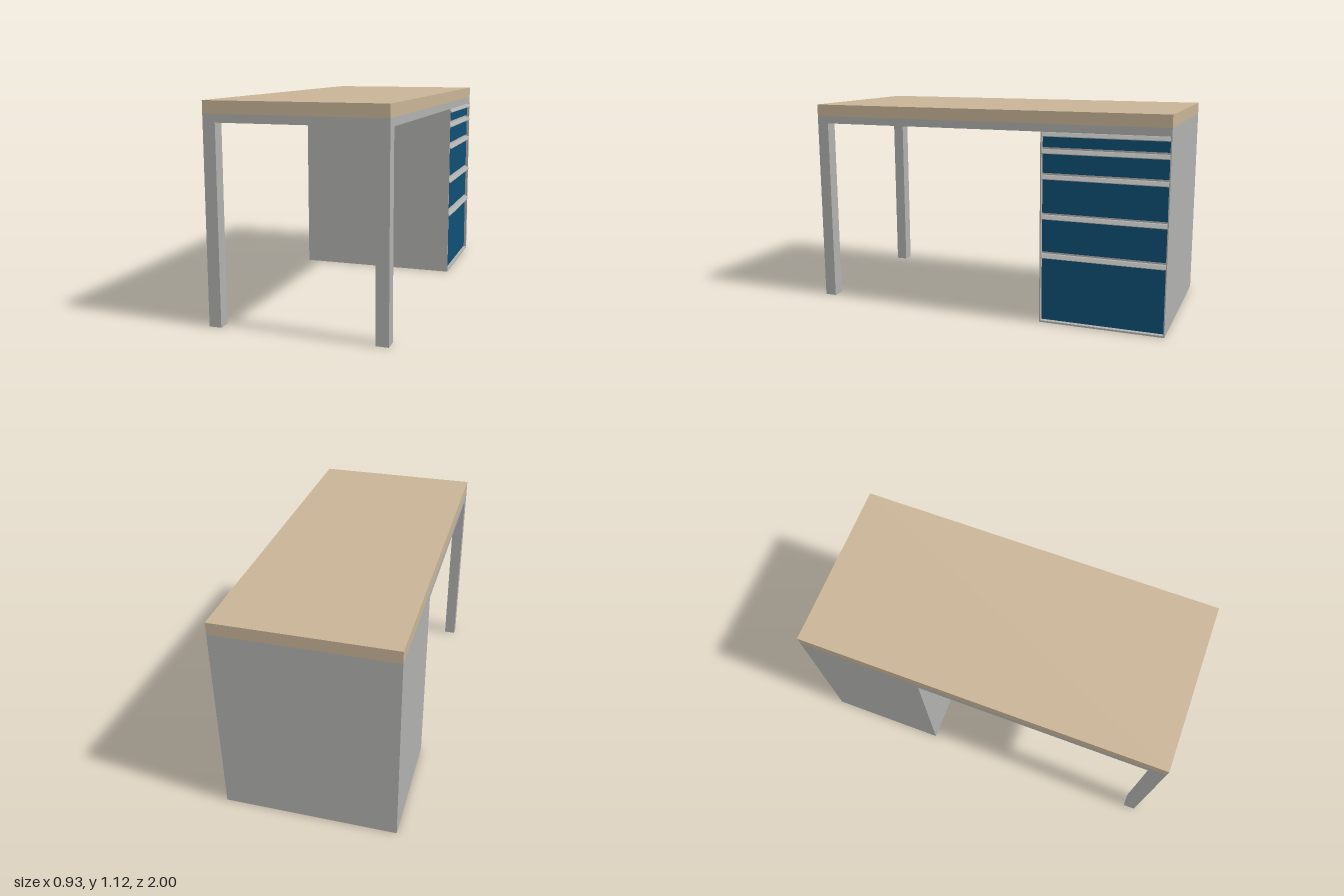
import * as THREE from 'three';

export function createModel() {
  const desk = new THREE.Group();
  desk.name = 'desk';

  const material = (name, color) => {
    const m = new THREE.MeshStandardMaterial({ color });
    m.name = name;
    return m;
  };
  const wood = material('wood', 0xc8b496);
  const steel = material('grey steel', 0xb0b0ae);
  const blue = material('blue drawer front', 0x0f4f74);

  // Box given by its lower and upper limits on each axis
  function box(name, mat, [x0, x1], [y0, y1], [z0, z1], parent = desk) {
    const mesh = new THREE.Mesh(new THREE.BoxGeometry(x1 - x0, y1 - y0, z1 - z0), mat);
    mesh.position.set((x0 + x1) / 2, (y0 + y1) / 2, (z0 + z1) / 2);
    mesh.name = name;
    parent.add(mesh);
    return mesh;
  }

  const L = -0.467, R = 0.46, bar = 0.065;
  const railY = [1.015, 1.056];

  // Worktop
  box('worktop', wood, [L, R], [1.056, 1.12], [-1, 1]);

  // Rail frame under the worktop
  box('sideRail', steel, [L, L + bar], railY, [-1, 1]);
  box('sideRail', steel, [R - bar, R], railY, [-1, 1]);
  box('endRail', steel, [L + bar, R - bar], railY, [1 - bar, 1]);
  box('endRail', steel, [L + bar, R - bar], railY, [-1, -1 + bar]);

  // Legs at the front end
  for (const x of [L, R - bar]) box('leg', steel, [x, x + bar], [0, 1.015], [1 - bar, 1]);

  // Cabinet: a core with thin lips around the recessed drawer side
  const cabinet = new THREE.Group();
  cabinet.name = 'cabinet';
  desk.add(cabinet);
  const back = -1, front = -0.335, lip = 0.006, inner = 0.435;
  box('cabinetBody', steel, [L, inner], [0, 1.015], [back, front], cabinet);
  box('cabinetLip', steel, [inner, R], [0, 1.015], [back, back + lip], cabinet);
  box('cabinetLip', steel, [inner, R], [0, 1.015], [front - lip, front], cabinet);
  box('cabinetSill', steel, [inner, R], [0, 0.009], [back + lip, front - lip], cabinet);

  // Drawers as [bottom, top], each with a sloping grip along its top edge
  const face = 0.444, z0 = back + lip + 0.002, z1 = front - lip - 0.002;
  const drawers = [[0.013, 0.373], [0.385, 0.581], [0.592, 0.791], [0.802, 0.924], [0.935, 1.012]];
  for (const [y0, y1] of drawers) {
    const drawer = new THREE.Group();
    drawer.name = 'drawer';
    cabinet.add(drawer);
    box('drawerFront', blue, [inner, face], [y0, y1 - 0.004], [z0, z1], drawer);

    const profile = new THREE.Shape([
      [inner, y1 - 0.022], [0.46, y1 - 0.022], [0.467, y1 - 0.02],
      [0.467, y1 - 0.017], [0.453, y1], [inner, y1],
    ].map(([x, y]) => new THREE.Vector2(x, y)));
    const grip = new THREE.Mesh(
      new THREE.ExtrudeGeometry(profile, { depth: z1 - z0, bevelEnabled: false }), steel);
    grip.position.z = z0;
    grip.name = 'drawerGrip';
    drawer.add(grip);
  }

  return desk;
}
